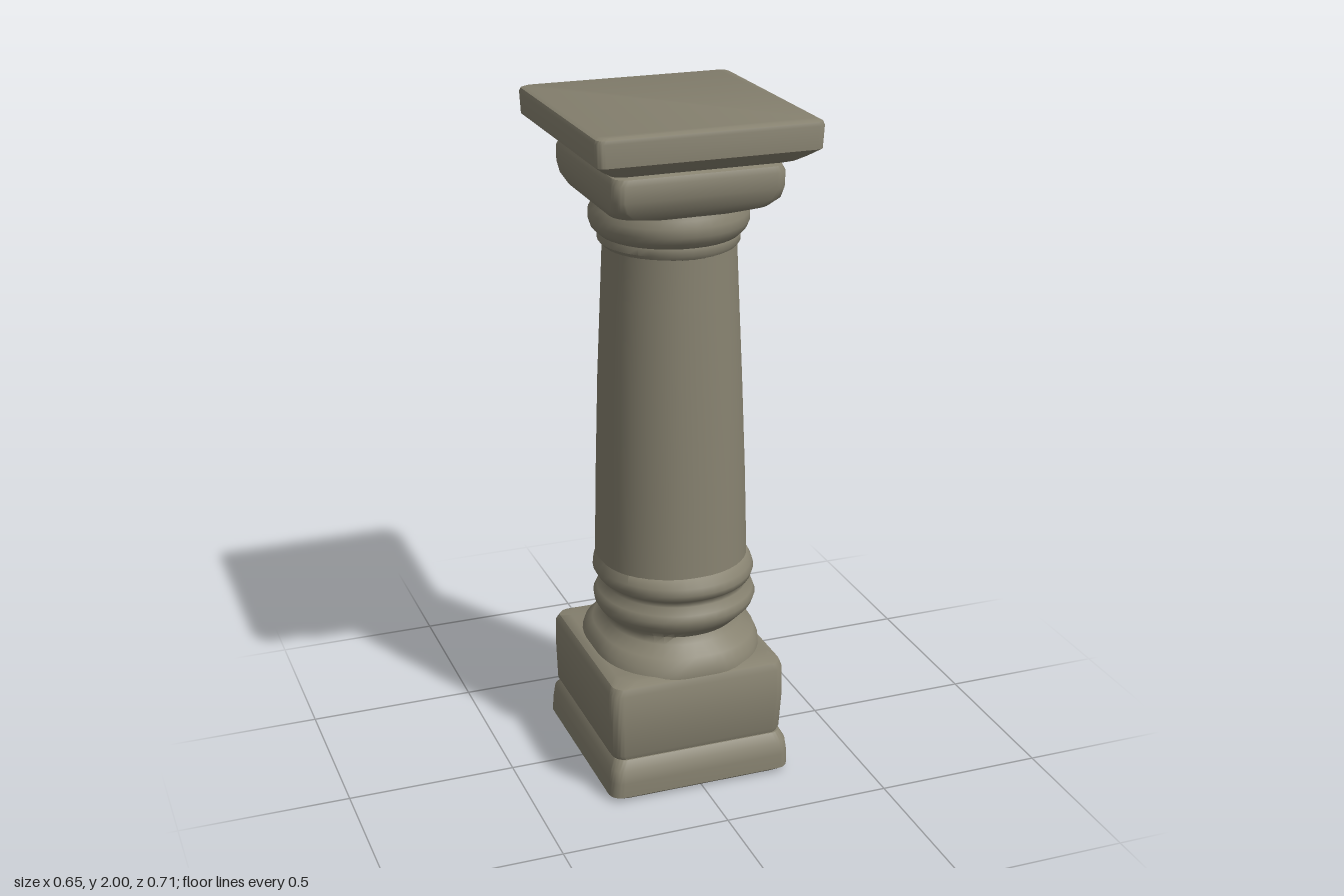
import * as THREE from 'three';
import { toCreasedNormals } from 'three/addons/utils/BufferGeometryUtils.js';

const CORNER_STEPS = 10;

// Ring of points: a rectangle whose corners are rounded by q (near 1 = ellipse)
function ring([y, x0, x1, z0, z1, q]) {
  const cx = (x0 + x1) / 2, cz = (z0 + z1) / 2;
  const hx = (x1 - x0) / 2, hz = (z1 - z0) / 2;
  const points = [];
  for (let corner = 0; corner < 4; corner++) {
    const sx = corner === 0 || corner === 3 ? 1 : -1;
    const sz = corner < 2 ? 1 : -1;
    for (let i = 0; i <= CORNER_STEPS; i++) {
      const a = (corner + i / CORNER_STEPS) * Math.PI / 2;
      points.push([
        cx + hx * (sx * (1 - q) + q * Math.cos(a)), y,
        cz + hz * (sz * (1 - q) + q * Math.sin(a)),
      ]);
    }
  }
  return points;
}

// Closed solid through rows of [y, xMin, xMax, zMin, zMax, roundness], bottom to top
function loft(rows, crease) {
  const rings = rows.map(ring);
  const n = rings[0].length;
  const positions = rings.flat(2);
  const index = [];
  for (let r = 0; r < rows.length - 1; r++) {
    for (let i = 0; i < n; i++) {
      const a = r * n + i, b = r * n + (i + 1) % n;
      index.push(a, a + n, b, b, a + n, b + n);
    }
  }
  const top = (rows.length - 1) * n;
  for (let i = 1; i < n - 1; i++) {
    index.push(0, i, i + 1, top, top + i + 1, top + i);
  }
  const geometry = new THREE.BufferGeometry();
  geometry.setAttribute('position', new THREE.Float32BufferAttribute(positions, 3));
  geometry.setIndex(index);
  return toCreasedNormals(geometry, crease);
}

export function createModel() {
  const group = new THREE.Group();
  const stone = new THREE.MeshStandardMaterial({ color: 0x878270 });
  stone.name = 'stone';

  const add = (name, rows, crease = 0.7) => {
    const mesh = new THREE.Mesh(loft(rows, crease), stone);
    mesh.name = name;
    group.add(mesh);
  };

  // Square foot slab
  add('plinth', [
    [0, -0.265, 0.265, -0.29, 0.285, 0.15],
    [0.015, -0.285, 0.28, -0.308, 0.305, 0.13],
    [0.06, -0.282, 0.28, -0.308, 0.305, 0.13],
    [0.1, -0.277, 0.275, -0.303, 0.3, 0.13],
    [0.125, -0.262, 0.262, -0.285, 0.28, 0.13],
  ]);

  // Tall block on the slab
  add('pedestalBlock', [
    [0.115, -0.255, 0.255, -0.275, 0.272, 0.13],
    [0.14, -0.272, 0.262, -0.283, 0.282, 0.13],
    [0.25, -0.275, 0.268, -0.288, 0.287, 0.13],
    [0.335, -0.273, 0.268, -0.292, 0.284, 0.13],
    [0.355, -0.262, 0.262, -0.285, 0.276, 0.14],
    [0.365, -0.235, 0.24, -0.26, 0.25, 0.2],
  ]);

  // Flared foot and two round mouldings under the shaft
  add('baseMoulding', [
    [0.355, -0.24, 0.255, -0.288, 0.275, 0.8],
    [0.385, -0.235, 0.258, -0.288, 0.275, 0.85],
    [0.41, -0.215, 0.25, -0.265, 0.255, 0.9],
    [0.435, -0.185, 0.215, -0.235, 0.215, 0.95],
    [0.455, -0.185, 0.21, -0.222, 0.205, 0.98],
    [0.475, -0.205, 0.235, -0.23, 0.22, 0.98],
    [0.495, -0.217, 0.255, -0.242, 0.236, 0.98],
    [0.515, -0.22, 0.263, -0.245, 0.24, 0.98],
    [0.535, -0.21, 0.255, -0.235, 0.235, 0.98],
    [0.555, -0.19, 0.237, -0.212, 0.215, 0.98],
    [0.57, -0.192, 0.237, -0.212, 0.216, 0.98],
    [0.585, -0.212, 0.247, -0.228, 0.24, 0.98],
    [0.605, -0.224, 0.253, -0.235, 0.248, 0.98],
    [0.625, -0.222, 0.248, -0.232, 0.242, 0.98],
    [0.65, -0.213, 0.235, -0.223, 0.225, 0.98],
  ], 1.1);

  // Tapering shaft
  add('shaft', [
    [0.63, -0.213, 0.234, -0.225, 0.222, 0.95],
    [0.9, -0.208, 0.226, -0.216, 0.214, 0.95],
    [1.2, -0.2, 0.213, -0.206, 0.206, 0.95],
    [1.45, -0.189, 0.201, -0.197, 0.196, 0.95],
    [1.62, -0.182, 0.193, -0.19, 0.19, 0.95],
  ]);

  // Thin fillet and round collar under the capital
  add('neckFillet', [
    [1.6, -0.182, 0.193, -0.19, 0.19, 0.98],
    [1.615, -0.197, 0.206, -0.205, 0.2, 0.98],
    [1.635, -0.197, 0.206, -0.205, 0.2, 0.98],
    [1.648, -0.192, 0.2, -0.198, 0.195, 0.98],
  ]);
  add('neckCollar', [
    [1.638, -0.198, 0.205, -0.203, 0.203, 0.98],
    [1.655, -0.216, 0.222, -0.22, 0.22, 0.98],
    [1.675, -0.223, 0.23, -0.229, 0.229, 0.98],
    [1.7, -0.223, 0.23, -0.229, 0.229, 0.98],
    [1.72, -0.212, 0.22, -0.22, 0.22, 0.98],
    [1.75, -0.2, 0.208, -0.208, 0.208, 0.98],
  ], 1.1);

  // Square capital, undercut below and pinched above
  add('capitalBlock', [
    [1.73, -0.205, 0.205, -0.215, 0.215, 0.6],
    [1.745, -0.232, 0.23, -0.245, 0.245, 0.3],
    [1.77, -0.244, 0.246, -0.26, 0.26, 0.17],
    [1.8, -0.249, 0.251, -0.268, 0.268, 0.14],
    [1.845, -0.249, 0.252, -0.27, 0.27, 0.14],
    [1.862, -0.242, 0.245, -0.262, 0.263, 0.15],
    [1.872, -0.222, 0.225, -0.24, 0.24, 0.2],
    [1.895, -0.222, 0.222, -0.24, 0.24, 0.2],
  ]);

  // Wide top slab with a chamfered underside
  add('abacus', [
    [1.876, -0.245, 0.245, -0.28, 0.28, 0.1],
    [1.883, -0.265, 0.265, -0.3, 0.3, 0.09],
    [1.9, -0.292, 0.29, -0.325, 0.325, 0.08],
    [1.922, -0.322, 0.318, -0.352, 0.352, 0.07],
    [1.985, -0.325, 0.322, -0.355, 0.353, 0.07],
    [1.995, -0.321, 0.318, -0.351, 0.35, 0.07],
    [2, -0.31, 0.308, -0.34, 0.34, 0.07],
  ]);

  return group;
}
